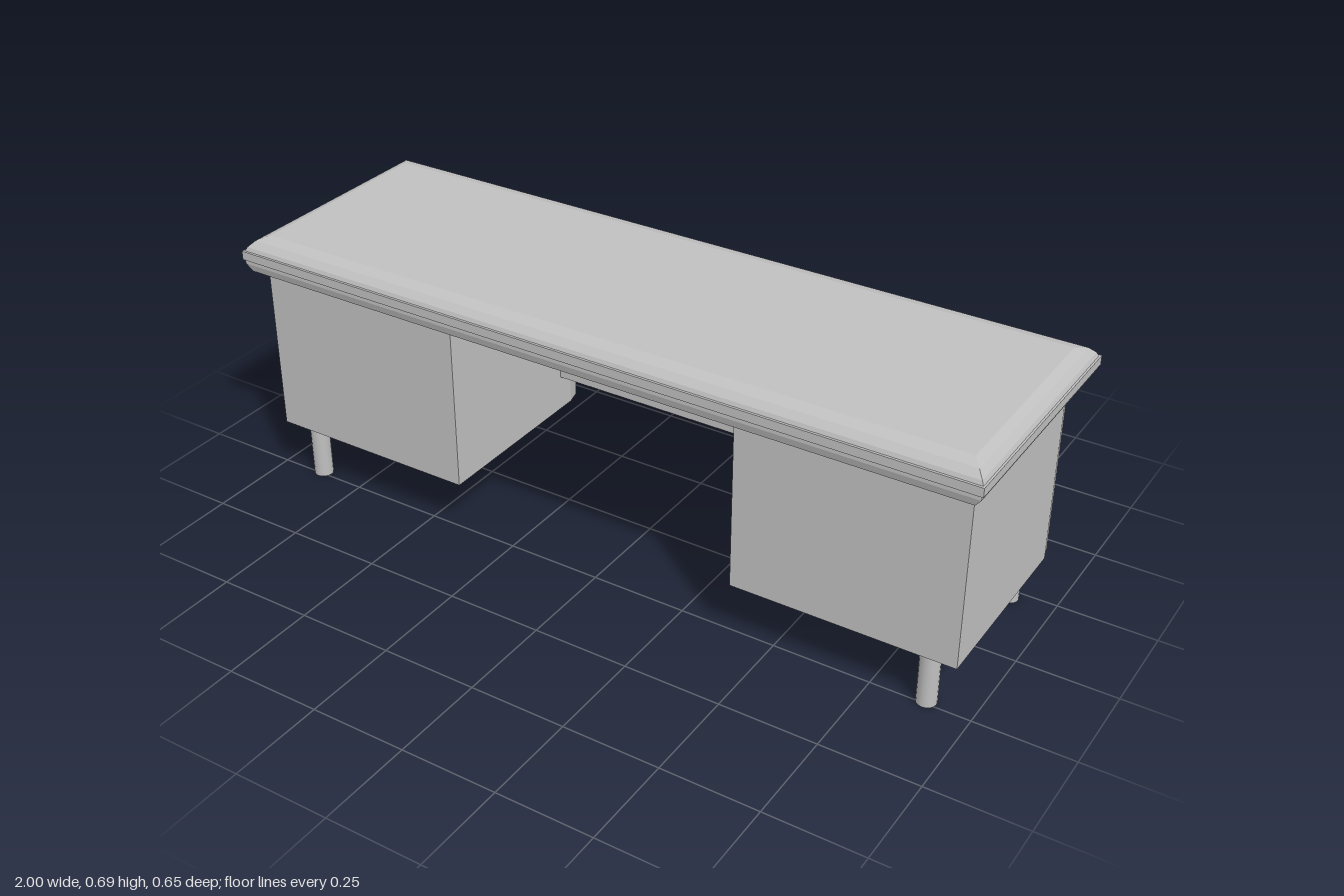
import * as THREE from 'three';

const grey = new THREE.MeshStandardMaterial({ color: 0xc0c0c0 });
grey.name = 'grey';

const WIDTH = 0.57, BACK = 0.285, RADIUS = 0.08;

function add(parent, name, geometry, x = 0, y = 0, z = 0) {
  const mesh = new THREE.Mesh(geometry, grey);
  mesh.name = name;
  mesh.position.set(x, y, z);
  parent.add(mesh);
  return mesh;
}

// Worktop: stacked rectangles [y, half width, half depth] joined by mitred flat faces
function worktopGeometry() {
  const rings = [
    [0.585, 0.955, 0.29], [0.601, 0.98, 0.313], [0.621, 0.995, 0.319], [0.632, 0.996, 0.319],
    [0.632, 1, 0.323], [0.655, 1, 0.323], [0.655, 0.995, 0.317], [0.665, 0.99, 0.313],
    [0.68, 0.975, 0.297], [0.688, 0.953, 0.266],
  ];
  const corners = ([y, x, z]) => [[-x, y, z], [x, y, z], [x, y, -z], [-x, y, -z]];
  const positions = [];
  const quad = (a, b, c, d) => positions.push(...a, ...b, ...c, ...a, ...c, ...d);
  for (let i = 0; i < rings.length - 1; i++) {
    const low = corners(rings[i]), high = corners(rings[i + 1]);
    for (let k = 0; k < 4; k++) {
      const n = (k + 1) % 4;
      quad(low[k], low[n], high[n], high[k]);
    }
  }
  quad(...corners(rings[rings.length - 1]));
  quad(...corners(rings[0]).reverse());
  const geometry = new THREE.BufferGeometry();
  geometry.setAttribute('position', new THREE.Float32BufferAttribute(positions, 3));
  geometry.computeVertexNormals();
  return geometry;
}

// Pedestal slab: square at +z, faceted round corners at -z; grooved slabs are cut short
function slabGeometry(height, grooved) {
  const side = [[0, -BACK]];
  for (let i = 0; i <= 3; i++) {
    const a = (i * Math.PI) / 6;
    side.push([RADIUS * (1 - Math.cos(a)), BACK - RADIUS + RADIUS * Math.sin(a)]);
  }
  if (grooved) side.splice(3, 2, [0.033, 0.267]);
  const right = side.map(([inset, y]) => new THREE.Vector2(WIDTH / 2 - inset, y));
  const left = right.map((p) => new THREE.Vector2(-p.x, p.y)).reverse();
  const geometry = new THREE.ExtrudeGeometry(new THREE.Shape([...right, ...left]), {
    depth: height, bevelEnabled: false,
  });
  return geometry.rotateX(-Math.PI / 2);
}

// Drawer pull with rounded ends
function handleGeometry() {
  const r = 0.009, h = 0.038;
  const shape = new THREE.Shape();
  shape.absarc(h, 0, r, -Math.PI / 2, Math.PI / 2);
  shape.absarc(-h, 0, r, Math.PI / 2, Math.PI * 1.5);
  return new THREE.ExtrudeGeometry(shape, { depth: 0.021, bevelEnabled: false, curveSegments: 4 });
}

function pedestal(name) {
  const group = new THREE.Group();
  group.name = name;
  const levels = [0.155, 0.384, 0.394, 0.53, 0.542, 0.585];
  for (let i = 0; i < levels.length - 1; i++) {
    const grooved = i % 2 === 1;
    add(group, grooved ? 'drawerGroove' : 'pedestalBody',
      slabGeometry(levels[i + 1] - levels[i], grooved), 0, levels[i], 0);
  }
  for (const y of [0.337, 0.469]) add(group, 'drawerHandle', handleGeometry(), 0, y, -0.304);
  return group;
}

export function createModel() {
  const model = new THREE.Group();
  model.name = 'desk';
  add(model, 'worktop', worktopGeometry());

  // Pedestals sit slightly off centre under the worktop
  for (const s of [-1, 1]) {
    const unit = pedestal(s > 0 ? 'leftPedestal' : 'rightPedestal');
    unit.position.x = s * 0.675 + 0.008;
    model.add(unit);
    for (const z of [0.24, -0.22]) {
      add(model, 'leg', new THREE.CylinderGeometry(0.025, 0.025, 0.155, 16), s * 0.883 + 0.004, 0.0775, z);
    }
  }

  // Panel joining the pedestals
  add(model, 'modestyPanel', new THREE.BoxGeometry(0.79, 0.335, 0.03), 0.008, 0.4175, -0.175);
  return model;
}
